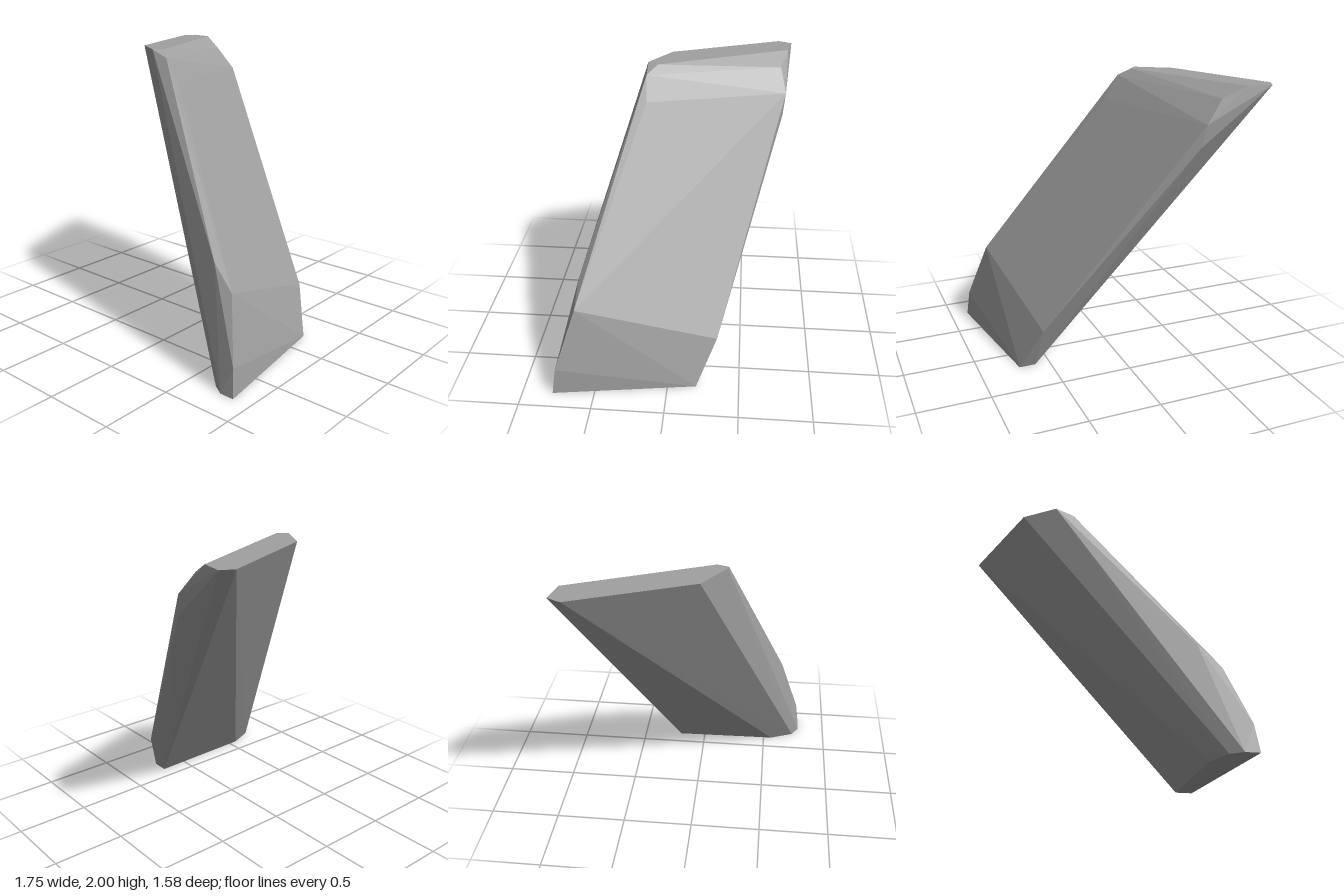
import * as THREE from 'three';
import { ConvexGeometry } from 'three/addons/geometries/ConvexGeometry.js';

// Corner rings of the leaning stone slab, as [x, y, z]
const topRim = [
  [-0.83, 2, -0.79], [-0.875, 2, -0.70], [-0.56, 2, 0.07], [-0.33, 2, 0.22],
  [-0.28, 2, 0.15], [-0.67, 2, -0.76],
];
const topChamfer = [
  [-0.52, 1.92, -0.71], [-0.40, 1.77, -0.75], [-0.37, 1.62, -0.735],
  [-0.20, 1.95, 0.22], [-0.10, 1.79, 0.21],
];
const lowerChamfer = [
  [0.57, 0.77, 0.615], [0.725, 0.61, 0.63], [0.85, 0.19, 0.765], [0.58, 0.32, -0.335],
];
const base = [
  [0.72, 0, -0.20], [0.87, 0, 0.79], [0.77, 0, 0.79],
  [0.69, 0, 0.74], [0.62, 0, 0.565], [0.605, 0, -0.20],
];

export function createModel() {
  const group = new THREE.Group();
  group.name = 'leaningRock';

  const stone = new THREE.MeshStandardMaterial({ color: 0xa0a0a0 });
  stone.name = 'grey stone';

  // Faceted hull through the corner rings
  const corners = [...topRim, ...topChamfer, ...lowerChamfer, ...base]
    .map((p) => new THREE.Vector3(...p));
  const slab = new THREE.Mesh(new ConvexGeometry(corners), stone);
  slab.name = 'rockSlab';
  group.add(slab);
  return group;
}
